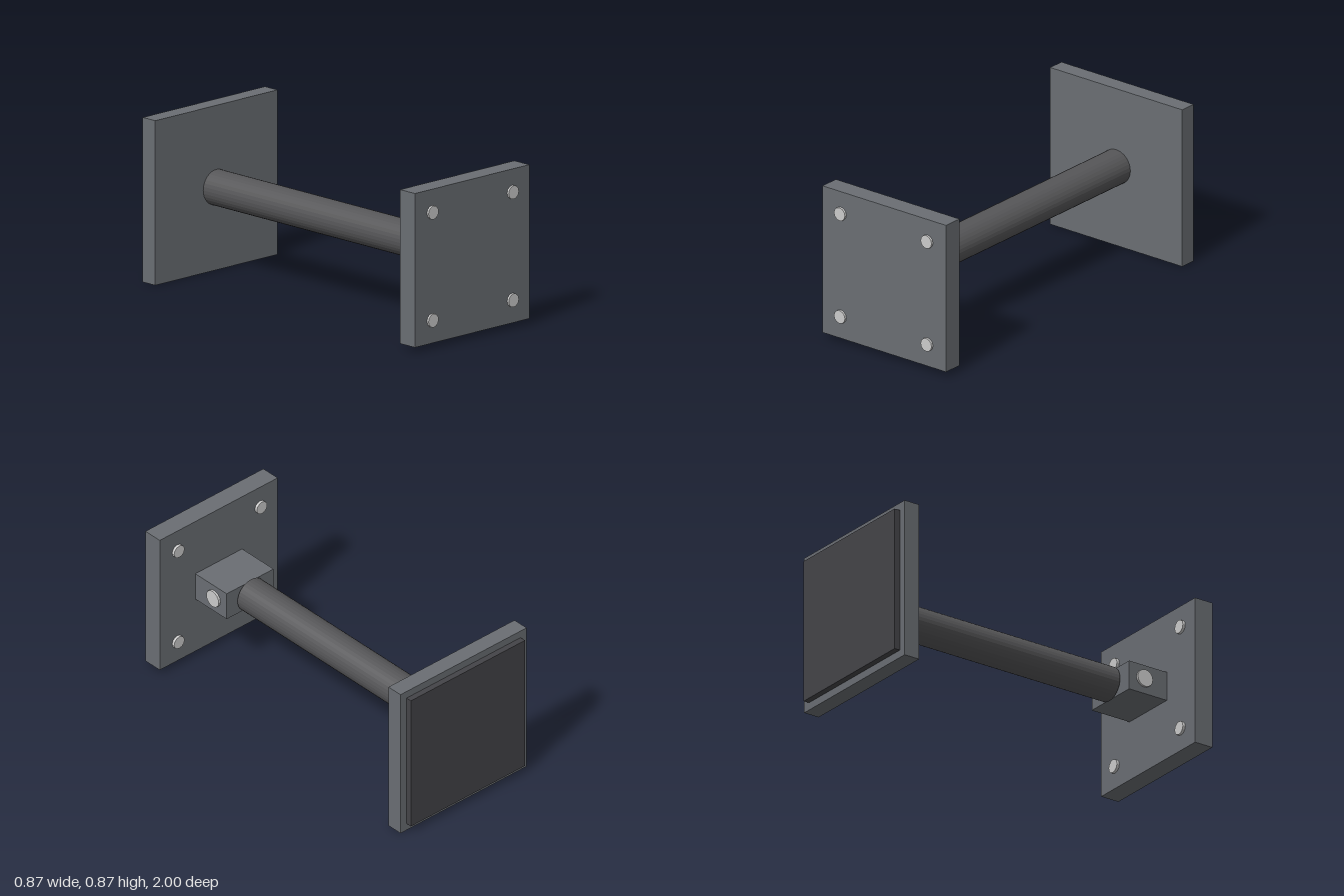
import * as THREE from 'three';

const CY = 0.433; // height of the shared axis

export function createModel() {
  const group = new THREE.Group();
  const mat = (color, flatShading = false) => new THREE.MeshStandardMaterial({ color, flatShading });
  const plateMat = mat(0x6a6e73);
  const padMat = mat(0x444448);
  const tubeMat = mat(0x565658, true);
  const boltMat = mat(0xcccccc, true);

  const add = (name, geometry, material, x, y, z) => {
    const mesh = new THREE.Mesh(geometry, material);
    mesh.name = name;
    mesh.position.set(x, y, z);
    group.add(mesh);
    return mesh;
  };
  // Box centred on the axis, spanning z0 to z1
  const slab = (name, w, h, z0, z1, material) =>
    add(name, new THREE.BoxGeometry(w, h, z1 - z0), material, 0, CY, (z0 + z1) / 2);

  // Rear plate with its thin pad
  slab('rearPlate', 0.866, 0.866, -0.967, -0.876, plateMat);
  slab('rearPad', 0.784, 0.784, -1, -0.967, padMat);

  // Front mounting plate and hinge block
  slab('frontPlate', 0.81, 0.81, 0.88, 0.988, plateMat);
  slab('hingeBlock', 0.322, 0.158, 0.643, 0.88, plateMat);

  // Round arm from the rear plate to just short of the hinge block
  const arm = new THREE.CylinderGeometry(0.093, 0.093, 1.512, 32).rotateX(Math.PI / 2);
  add('arm', arm, tubeMat, 0, CY + 0.003, -0.12);

  // Hinge pin across the block
  const pin = new THREE.CylinderGeometry(0.047, 0.047, 0.346, 16).rotateZ(Math.PI / 2);
  add('hingePin', pin, boltMat, 0, CY + 0.003, 0.737);

  // Four bolts through the front plate
  const bolt = new THREE.CylinderGeometry(0.036, 0.036, 0.135, 12).rotateX(Math.PI / 2);
  for (const sx of [-1, 1]) {
    for (const sy of [-1, 1]) add('bolt', bolt, boltMat, sx * 0.284, CY + sy * 0.284, 0.9325);
  }
  return group;
}
